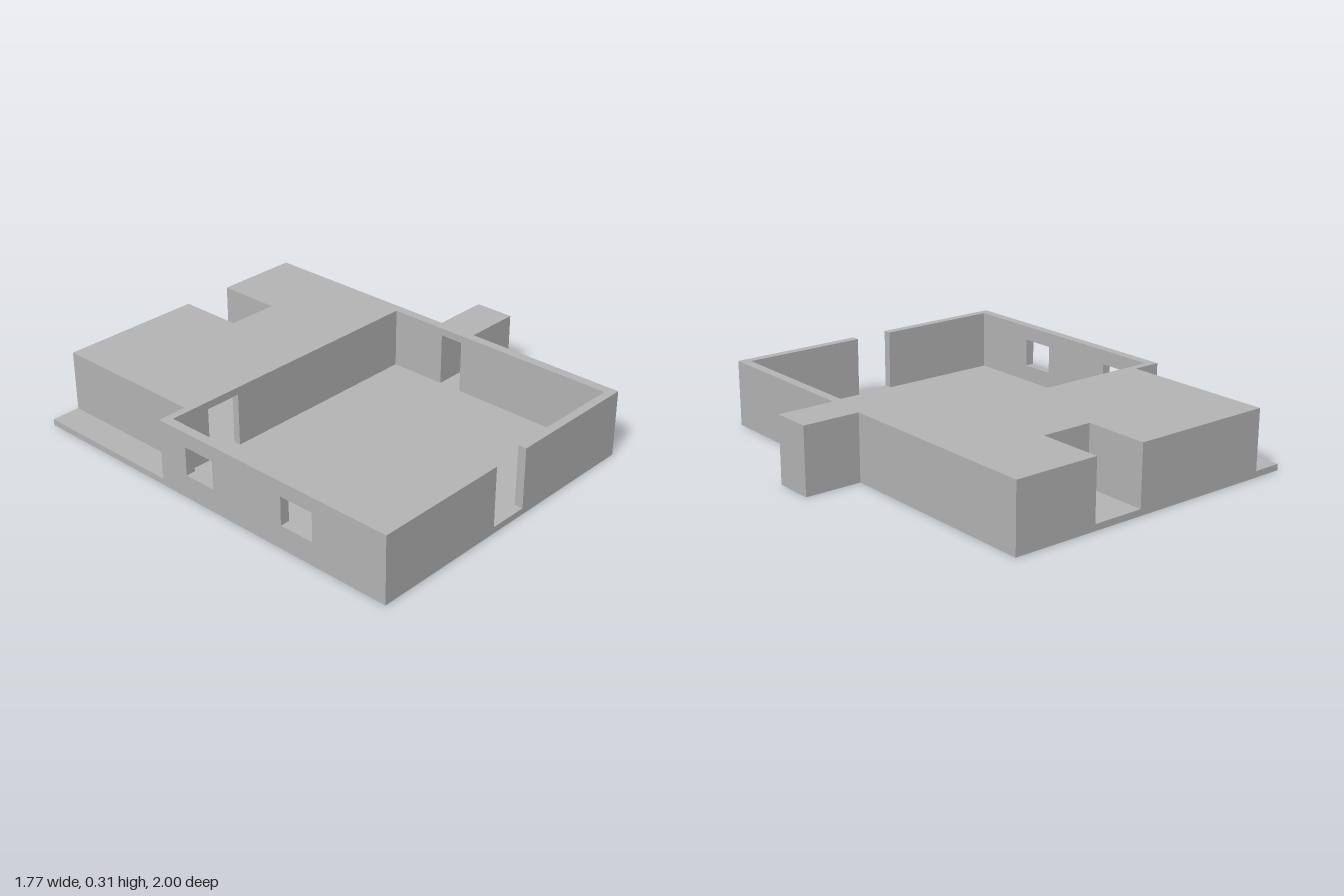
import * as THREE from 'three';

const FLOOR = 0.03, CEILING = 0.28, TOP = 0.315;

export function createModel() {
  const model = new THREE.Group();
  model.name = 'house';
  const plaster = new THREE.MeshStandardMaterial({ color: 0xb4b4b4 });
  plaster.name = 'plaster grey';

  // Box given by its limits on each axis
  function block(parent, name, x0, x1, y0, y1, z0, z1) {
    const mesh = new THREE.Mesh(new THREE.BoxGeometry(x1 - x0, y1 - y0, z1 - z0), plaster);
    mesh.position.set((x0 + x1) / 2, (y0 + y1) / 2, (z0 + z1) / 2);
    mesh.name = name;
    parent.add(mesh);
  }

  // Straight wall along 'x' or 'z', with openings [from, to, sill, head]
  function wall(name, axis, from, to, near, far, openings = []) {
    const group = new THREE.Group();
    group.name = name;
    model.add(group);
    const piece = (a, b, y0, y1) => {
      if (b - a < 1e-4 || y1 - y0 < 1e-4) return;
      if (axis === 'x') block(group, name + 'Piece', a, b, y0, y1, near, far);
      else block(group, name + 'Piece', near, far, y0, y1, a, b);
    };
    let start = from;
    for (const [a, b, sill, head] of openings) {
      piece(start, a, FLOOR, TOP);
      piece(a, b, FLOOR, sill);
      piece(a, b, head, TOP);
      start = b;
    }
    piece(start, to, FLOOR, TOP);
  }

  // Floors
  block(model, 'floorSlab', -0.885, 0.61, 0, FLOOR, -1, 1);
  block(model, 'closetFloor', 0.61, 0.885, 0, FLOOR, 0.02, 0.21);

  // Open front room
  wall('frontWall', 'x', -0.84, 0.565, 0.96, 1, [[-0.23, -0.04, FLOOR, TOP]]);
  wall('rightWall', 'z', -0.255, 0.61 + 0.39, -0.885, -0.84,
    [[-0.10, 0.06, 0.11, 0.245], [0.45, 0.62, 0.11, 0.245]]);
  wall('leftWall', 'z', -1, 1, 0.565, 0.61, [[0.06, 0.175, FLOOR, CEILING]]);
  wall('dividingWall', 'x', -0.84, 0.565, -0.255, -0.22, [[-0.645, -0.47, FLOOR, CEILING]]);

  // Side closet
  wall('closetBackWall', 'x', 0.61, 0.885, 0.02, 0.06);
  wall('closetFrontWall', 'x', 0.61, 0.885, 0.175, 0.21);
  wall('closetEndWall', 'z', 0.06, 0.175, 0.84, 0.885);
  block(model, 'closetRoof', 0.61, 0.84, CEILING, TOP, 0.06, 0.175);

  // Roofed back rooms around the porch recess
  wall('backRoomSideWall', 'z', -1, -0.255, -0.745, -0.70);
  wall('backWallRight', 'x', -0.70, -0.05, -1, -0.96);
  wall('backWallLeft', 'x', 0.2, 0.565, -1, -0.96);
  wall('porchRightWall', 'z', -0.96, -0.65, -0.095, -0.05);
  wall('porchLeftWall', 'z', -0.96, -0.65, 0.2, 0.245);
  wall('porchInnerWall', 'x', -0.05, 0.2, -0.69, -0.65);

  // Flat roof with the porch cut out
  const plan = [[-0.745, -1], [-0.05, -1], [-0.05, -0.69], [0.2, -0.69], [0.2, -1],
    [0.61, -1], [0.61, -0.22], [-0.745, -0.22]];
  const shape = new THREE.Shape(plan.map(([x, z]) => new THREE.Vector2(x, -z)));
  const roof = new THREE.Mesh(
    new THREE.ExtrudeGeometry(shape, { depth: TOP - CEILING, bevelEnabled: false }), plaster);
  roof.rotation.x = -Math.PI / 2;
  roof.position.y = CEILING;
  roof.name = 'backRoof';
  model.add(roof);

  return model;
}
